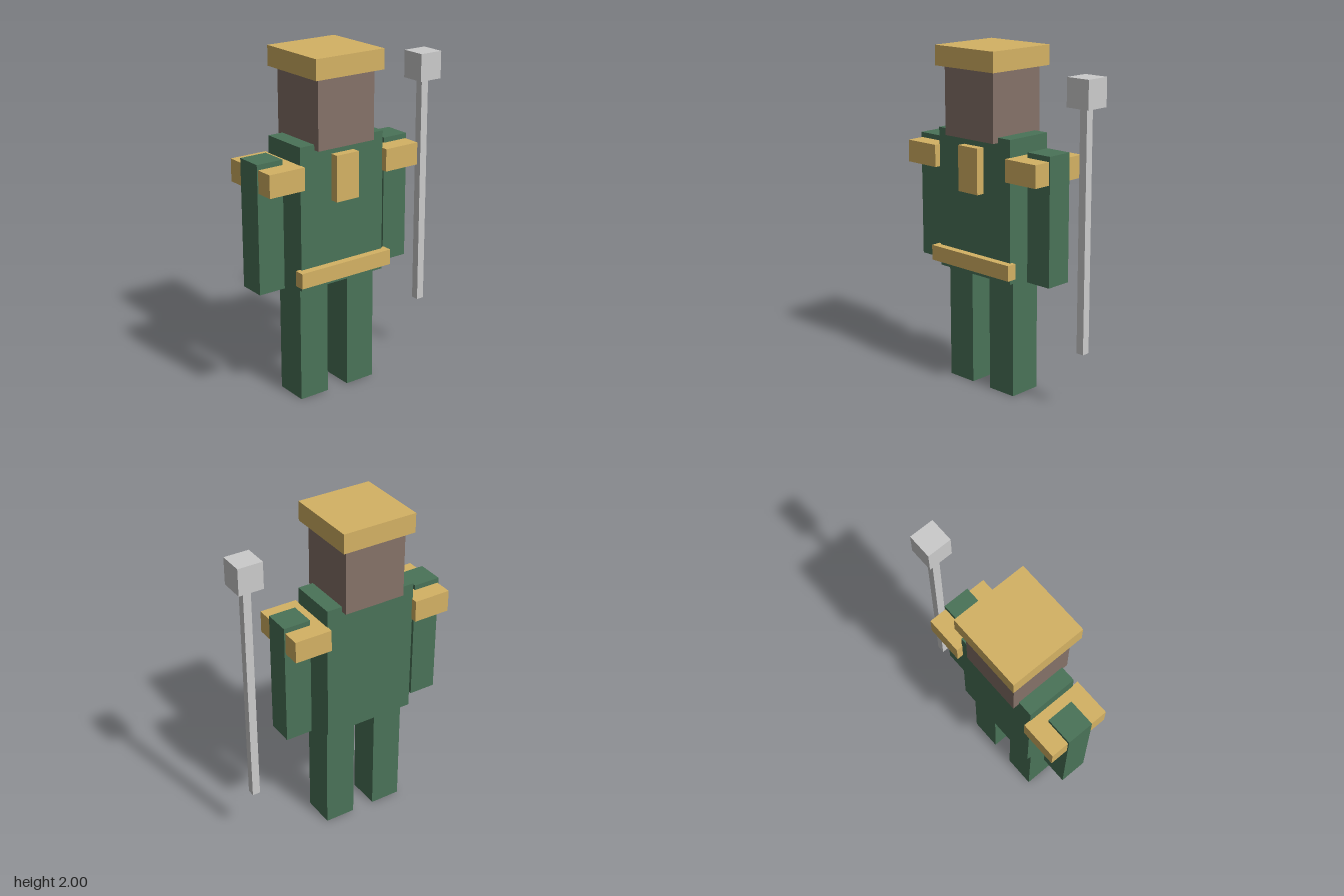
import * as THREE from 'three';

const material = (color) => new THREE.MeshStandardMaterial({ color, flatShading: true });

export function createModel() {
  const model = new THREE.Group();
  const green = material(0x4a7358);
  const gold = material(0xd4b264);
  const brown = material(0x857268);
  const grey = material(0xcccccc);

  // The figure stands off-centre to make room for the staff
  const figure = new THREE.Group();
  figure.name = 'figure';
  figure.position.x = -0.13;
  model.add(figure);

  // Box given by its centre x, width, bottom and top, and back and front
  const block = (parent, name, mat, x, width, y0, y1, z0, z1) => {
    const mesh = new THREE.Mesh(new THREE.BoxGeometry(width, y1 - y0, z1 - z0), mat);
    mesh.name = name;
    mesh.position.set(x, (y0 + y1) / 2, (z0 + z1) / 2);
    parent.add(mesh);
  };

  // Body, head and hat
  block(figure, 'torso', green, 0, 0.56, 0.695, 1.52, -0.15, 0.15);
  block(figure, 'head', brown, 0, 0.375, 1.49, 1.89, -0.1875, 0.1875);
  block(figure, 'hat', gold, 0, 0.45, 1.885, 2, -0.225, 0.225);

  // Trim on the front of the torso
  block(figure, 'chestPlate', gold, 0, 0.15, 1.185, 1.45, 0.14, 0.2);
  block(figure, 'belt', gold, 0, 0.615, 0.73, 0.82, 0.135, 0.195);

  // Paired limbs and shoulder pads
  for (const [side, s] of [['left', 1], ['right', -1]]) {
    block(figure, side + 'Leg', green, s * 0.163, 0.187, 0, 0.695, -0.1, 0.1);
    block(figure, side + 'Arm', green, s * 0.427, 0.163, 0.708, 1.45, -0.08, 0.08);
    block(figure, side + 'ShoulderPad', gold, s * 0.389, 0.225, 1.29, 1.42, -0.1875, 0.1875);
  }

  // Staff floating beside the left arm
  const staff = new THREE.Group();
  staff.name = 'staff';
  model.add(staff);
  block(staff, 'staffShaft', grey, 0.56, 0.047, 0.355, 1.735, -0.0235, 0.0235);
  block(staff, 'staffHead', grey, 0.56, 0.148, 1.73, 1.89, -0.074, 0.074);

  return model;
}
